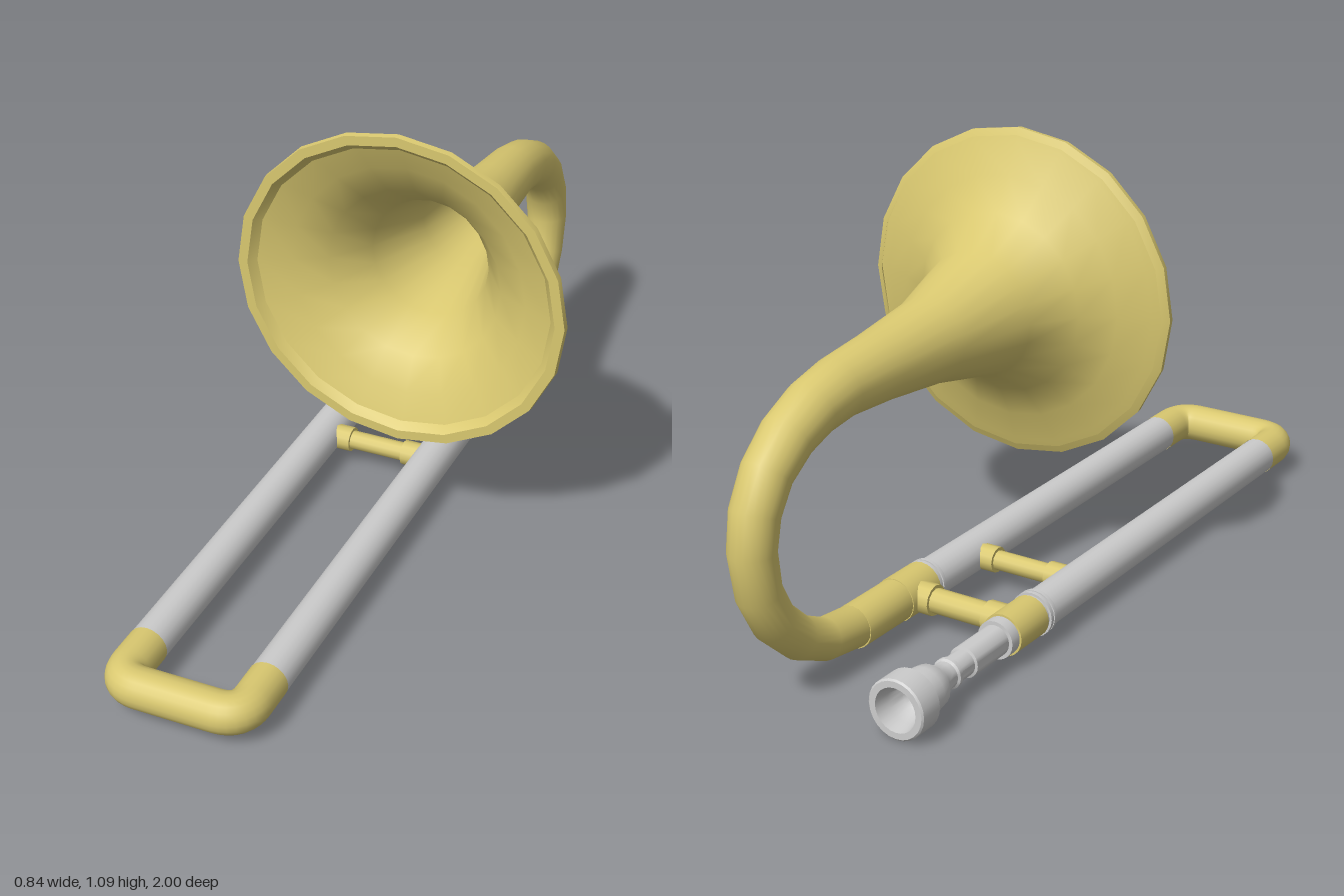
import * as THREE from 'three';
import { toCreasedNormals } from 'three/addons/utils/BufferGeometryUtils.js';

const SLIDE_Y = 0.075, SLIDE_X = -0.305, BELL_Y = 0.683;

export function createModel() {
  const model = new THREE.Group();
  model.name = 'trombone';
  const brass = new THREE.MeshStandardMaterial({ color: 0xd9c870, side: THREE.DoubleSide });
  brass.name = 'brass';
  const silver = new THREE.MeshStandardMaterial({ color: 0xcccccc, side: THREE.DoubleSide });
  silver.name = 'silver';

  function add(name, geometry, material) {
    const mesh = new THREE.Mesh(geometry, material);
    mesh.name = name;
    model.add(mesh);
    return mesh;
  }

  // Turned part along z; profile holds [radius, z] with z falling along the outside
  function turned(name, material, x, profile, sides = 20) {
    const pts = profile.map(([r, z]) => new THREE.Vector2(r, -z));
    const geo = toCreasedNormals(new THREE.LatheGeometry(pts, sides), 0.6);
    geo.rotateX(-Math.PI / 2);
    const mesh = add(name, geo, material);
    mesh.position.set(x, SLIDE_Y, 0);
    return mesh;
  }
  const sleeve = (name, material, x, r, front, back) =>
    turned(name, material, x, [[0, front], [r, front], [r, back], [0, back]]);

  // Slide tubes with end rings
  for (const [side, x] of [['left', 0], ['right', SLIDE_X]]) {
    sleeve(side + 'SlideTube', silver, x, 0.048, 0.82, -0.34);
    sleeve(side + 'SlideRing', silver, x, 0.054, -0.308, -0.318);
    sleeve(side + 'SlideEndRing', silver, x, 0.054, -0.322, -0.332);
  }

  // Front U-bend of the slide
  const v = (x, z) => new THREE.Vector3(x, SLIDE_Y, z);
  const path = new THREE.CurvePath();
  path.add(new THREE.LineCurve3(v(0, 0.815), v(0, 0.89)));
  path.add(new THREE.QuadraticBezierCurve3(v(0, 0.89), v(0, 0.951), v(-0.06, 0.951)));
  path.add(new THREE.LineCurve3(v(-0.06, 0.951), v(SLIDE_X + 0.06, 0.951)));
  path.add(new THREE.QuadraticBezierCurve3(v(SLIDE_X + 0.06, 0.951), v(SLIDE_X, 0.951), v(SLIDE_X, 0.89)));
  path.add(new THREE.LineCurve3(v(SLIDE_X, 0.89), v(SLIDE_X, 0.815)));
  add('slideBow', new THREE.TubeGeometry(path, 48, 0.049, 20), brass);

  // Sleeves behind the slide tubes
  sleeve('bellSleeveFront', brass, 0, 0.054, -0.332, -0.442);
  sleeve('bellSleeveBack', brass, 0, 0.052, -0.442, -0.605);
  sleeve('mouthpieceSleeve', brass, SLIDE_X, 0.051, -0.34, -0.455);

  // Mouthpiece with hollow cup
  turned('mouthpiece', silver, SLIDE_X, [
    [0.046, -0.45], [0.046, -0.485], [0.037, -0.485], [0.037, -0.61],
    [0.031, -0.612], [0.031, -0.66], [0.036, -0.664], [0.036, -0.674],
    [0.031, -0.678], [0.031, -0.69], [0.036, -0.715], [0.05, -0.735],
    [0.054, -0.76], [0.054, -0.8], [0.071, -0.804], [0.071, -0.862],
    [0.067, -0.866], [0.052, -0.866], [0.045, -0.83], [0.036, -0.79],
    [0.012, -0.765], [0, -0.765],
  ], 24);

  // Cross braces with a collar at each end
  for (const [name, z, r] of [['rearBrace', -0.39, 0.03], ['frontBrace', -0.125, 0.024]]) {
    const rod = (part, radius, x0, x1) => {
      const geo = new THREE.CylinderGeometry(radius, radius, x1 - x0, 12);
      geo.rotateZ(Math.PI / 2);
      add(part, geo, brass).position.set((x0 + x1) / 2, SLIDE_Y, z);
    };
    rod(name, r, SLIDE_X + 0.03, -0.03);
    rod(name + 'RightCollar', r + 0.008, SLIDE_X + 0.03, SLIDE_X + 0.08);
    rod(name + 'LeftCollar', r + 0.008, -0.08, -0.03);
  }

  // Bell and neck bend: rings given as [z, y, radius] swept in the x = 0 plane
  const rings = [
    [-0.6, 0.076, 0.05], [-0.71, 0.09, 0.049], [-0.8, 0.132, 0.05],
    [-0.88, 0.205, 0.051], [-0.926, 0.29, 0.052], [-0.942, 0.39, 0.054],
    [-0.928, 0.472, 0.056], [-0.885, 0.547, 0.058], [-0.815, 0.605, 0.062],
    [-0.73, 0.642, 0.066], [-0.64, 0.66, 0.07], [-0.5, 0.665, 0.08],
    [-0.3, 0.669, 0.102], [-0.1, 0.679, 0.152], [0, 0.682, 0.222],
    [0.045, BELL_Y, 0.3], [0.075, BELL_Y, 0.375], [0.085, BELL_Y, 0.402],
  ];
  const sides = 20, pos = [], index = [];
  rings.forEach(([z, y, r], i) => {
    const a = rings[Math.max(i - 1, 0)], b = rings[Math.min(i + 1, rings.length - 1)];
    const len = Math.hypot(b[0] - a[0], b[1] - a[1]);
    const tz = (b[0] - a[0]) / len, ty = (b[1] - a[1]) / len;
    for (let j = 0; j < sides; j++) {
      const t = (j / sides) * Math.PI * 2, s = r * Math.sin(t);
      pos.push(r * Math.cos(t), y + s * tz, z - s * ty);
      if (i === rings.length - 1) continue;
      const p = i * sides + j, q = i * sides + (j + 1) % sides;
      index.push(p, q, p + sides, q, q + sides, p + sides);
    }
  });
  const bell = new THREE.BufferGeometry();
  bell.setAttribute('position', new THREE.Float32BufferAttribute(pos, 3));
  bell.setIndex(index);
  bell.computeVertexNormals();
  add('bellAndNeck', bell, brass);

  // Rolled rim of the bell
  const rim = turned('bellRim', brass, 0, [
    [0.375, 0.08], [0.392, 0.1], [0.416, 0.1], [0.418, 0.085], [0.4, 0.076],
  ], sides);
  rim.position.y = BELL_Y;
  rim.scale.y = 0.975;

  return model;
}
